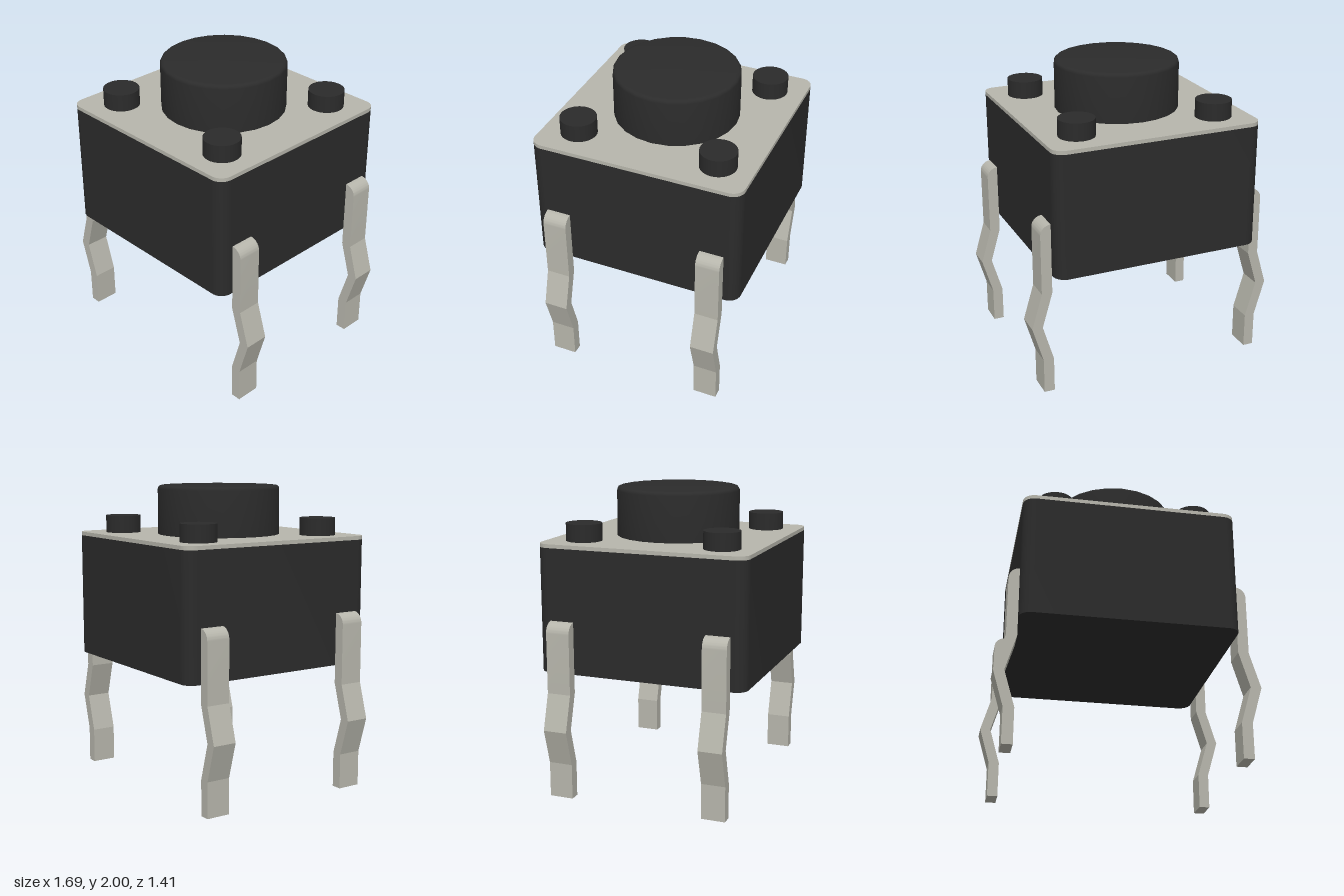
import * as THREE from 'three';
import { toCreasedNormals } from 'three/addons/utils/BufferGeometryUtils.js';

const dark = new THREE.MeshStandardMaterial({ color: 0x2b2b2b });
const metal = new THREE.MeshStandardMaterial({ color: 0xb7b6ac });

const HALF = 0.705, CORNER = 0.08;
const BASE_Y = 0.83, PLATE_Y = 1.65, PLATE_TOP = 1.675;

// Square slab with rounded vertical corners, from y0 to y1
function roundedSlab(y0, y1) {
  const s = new THREE.Shape();
  const c = HALF - CORNER;
  s.absarc(c, c, CORNER, 0, Math.PI / 2);
  s.absarc(-c, c, CORNER, Math.PI / 2, Math.PI);
  s.absarc(-c, -c, CORNER, Math.PI, Math.PI * 1.5);
  s.absarc(c, -c, CORNER, Math.PI * 1.5, Math.PI * 2);
  const g = new THREE.ExtrudeGeometry(s, { depth: y1 - y0, bevelEnabled: false, curveSegments: 8 });
  g.rotateX(-Math.PI / 2).translate(0, y0, 0);
  return toCreasedNormals(g, 0.6);
}

// Bent flat strip that leaves the body sideways, turns down and kinks outward
function pinGeometry() {
  const t = 0.07, width = 0.16, top = 1.178, x = HALF;
  const s = new THREE.Shape();
  s.moveTo(x, 0);
  s.lineTo(x + t, 0);
  s.lineTo(x + t, 0.235);
  s.lineTo(x + 2 * t, 0.475);
  s.lineTo(x + t, 0.71);
  s.lineTo(x + t, top - t);
  s.absarc(x, top - t, t, 0, Math.PI / 2);
  s.lineTo(x - 0.03, top);
  s.lineTo(x - 0.03, top - t);
  s.lineTo(x, top - t);
  s.lineTo(x, 0.71);
  s.lineTo(x + t, 0.475);
  s.lineTo(x, 0.235);
  s.closePath();
  const g = new THREE.ExtrudeGeometry(s, { depth: width, bevelEnabled: false, curveSegments: 8 });
  g.translate(0, 0, -width / 2);
  return toCreasedNormals(g, 0.25);
}

export function createModel() {
  const model = new THREE.Group();
  model.name = 'pushSwitch';
  const add = (name, geometry, material) => {
    const mesh = new THREE.Mesh(geometry, material);
    mesh.name = name;
    model.add(mesh);
    return mesh;
  };

  // Housing and cover plate
  add('housing', roundedSlab(BASE_Y, PLATE_Y), dark);
  add('coverPlate', roundedSlab(PLATE_Y, PLATE_TOP), metal);

  // Round button with a softened top edge
  const r = 0.41, f = 0.025;
  const profile = [new THREE.Vector2(0, PLATE_Y), new THREE.Vector2(r, PLATE_Y)];
  for (let i = 0; i <= 4; i++) {
    const a = (i / 4) * Math.PI / 2;
    profile.push(new THREE.Vector2(r - f + f * Math.cos(a), 2 - f + f * Math.sin(a)));
  }
  profile.push(new THREE.Vector2(0, 2));
  add('button', toCreasedNormals(new THREE.LatheGeometry(profile, 24), 0.6), dark);

  // Corner rivets and pins
  const rivet = new THREE.CylinderGeometry(0.118, 0.118, 0.14, 32);
  const pin = pinGeometry();
  for (const sx of [1, -1]) {
    for (const sz of [1, -1]) {
      const where = (sz > 0 ? 'front' : 'back') + (sx > 0 ? 'Left' : 'Right');
      add(where + 'Rivet', rivet, dark).position.set(sx * 0.472, 1.72, sz * 0.472);
      const leg = add(where + 'Pin', pin, metal);
      leg.position.z = sz * 0.53;
      leg.rotation.y = sx > 0 ? 0 : Math.PI;
    }
  }
  return model;
}
